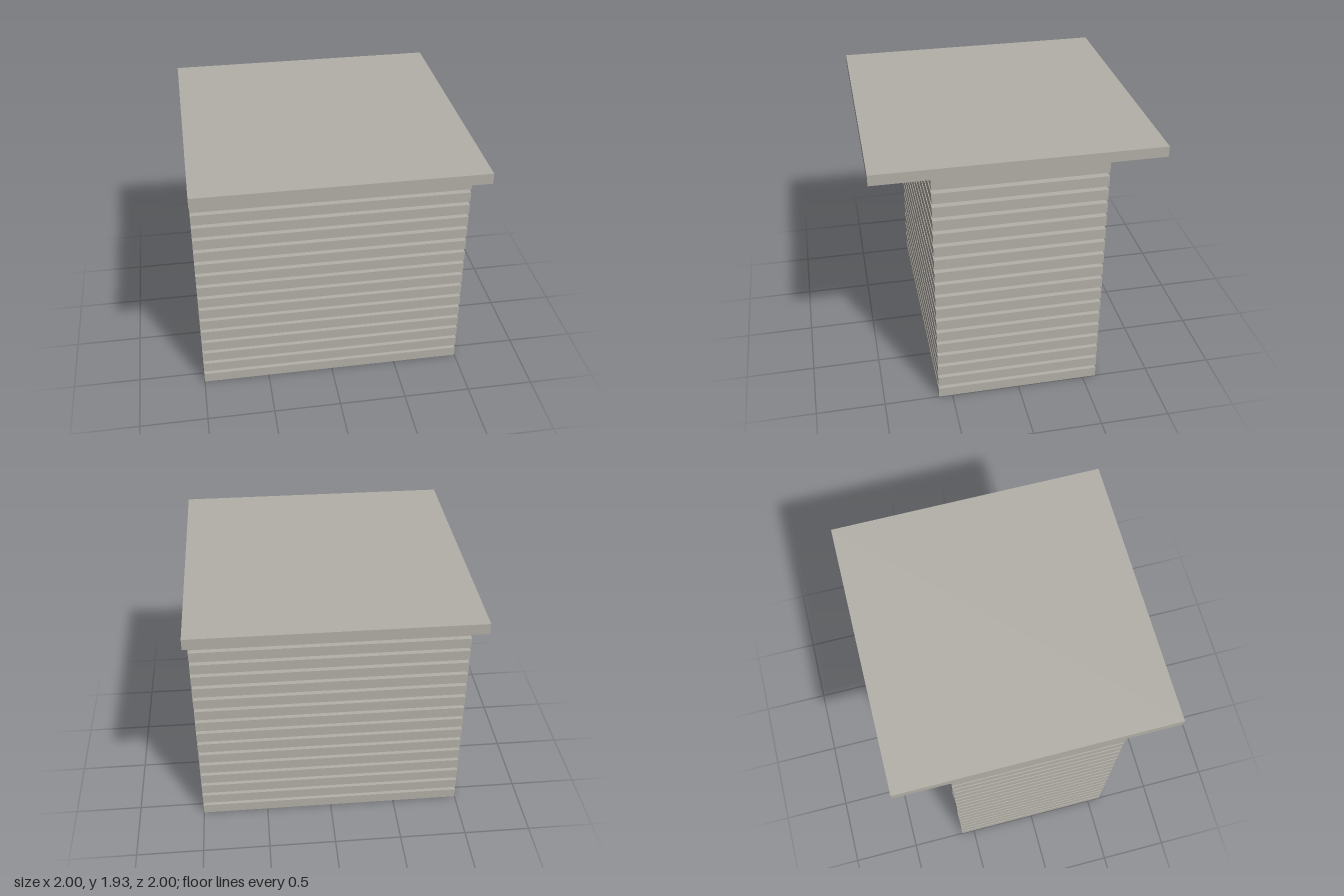
import * as THREE from 'three';

export function createModel() {
  const model = new THREE.Group();
  model.name = 'louvredBlock';

  const stone = new THREE.MeshStandardMaterial({ color: 0xb3afa8 });
  stone.name = 'warmGrey';

  const width = 2, depth = 1.2, thick = 0.077;
  const count = 18, pitch = 0.1043;

  // Stack of separate slats below the cap
  const slatGeometry = new THREE.BoxGeometry(width, thick, depth);
  for (let i = 0; i < count - 1; i++) {
    const slat = new THREE.Mesh(slatGeometry, stone);
    slat.name = `slat${i + 1}`;
    slat.position.y = thick / 2 + i * pitch;
    model.add(slat);
  }

  // Overhanging cap joined to the uppermost slat: a T profile run along x
  const y0 = (count - 1) * pitch, y1 = y0 + thick, y2 = y1 + thick;
  const profile = new THREE.Shape([
    [-0.6, y0], [0.6, y0], [0.6, y1], [1, y1],
    [1, y2], [-1, y2], [-1, y1], [-0.6, y1],
  ].map(([z, y]) => new THREE.Vector2(z, y)));
  const capGeometry = new THREE.ExtrudeGeometry(profile, { depth: width, bevelEnabled: false });
  capGeometry.translate(0, 0, -width / 2).rotateY(Math.PI / 2);
  const cap = new THREE.Mesh(capGeometry, stone);
  cap.name = 'capSlab';
  model.add(cap);

  return model;
}
